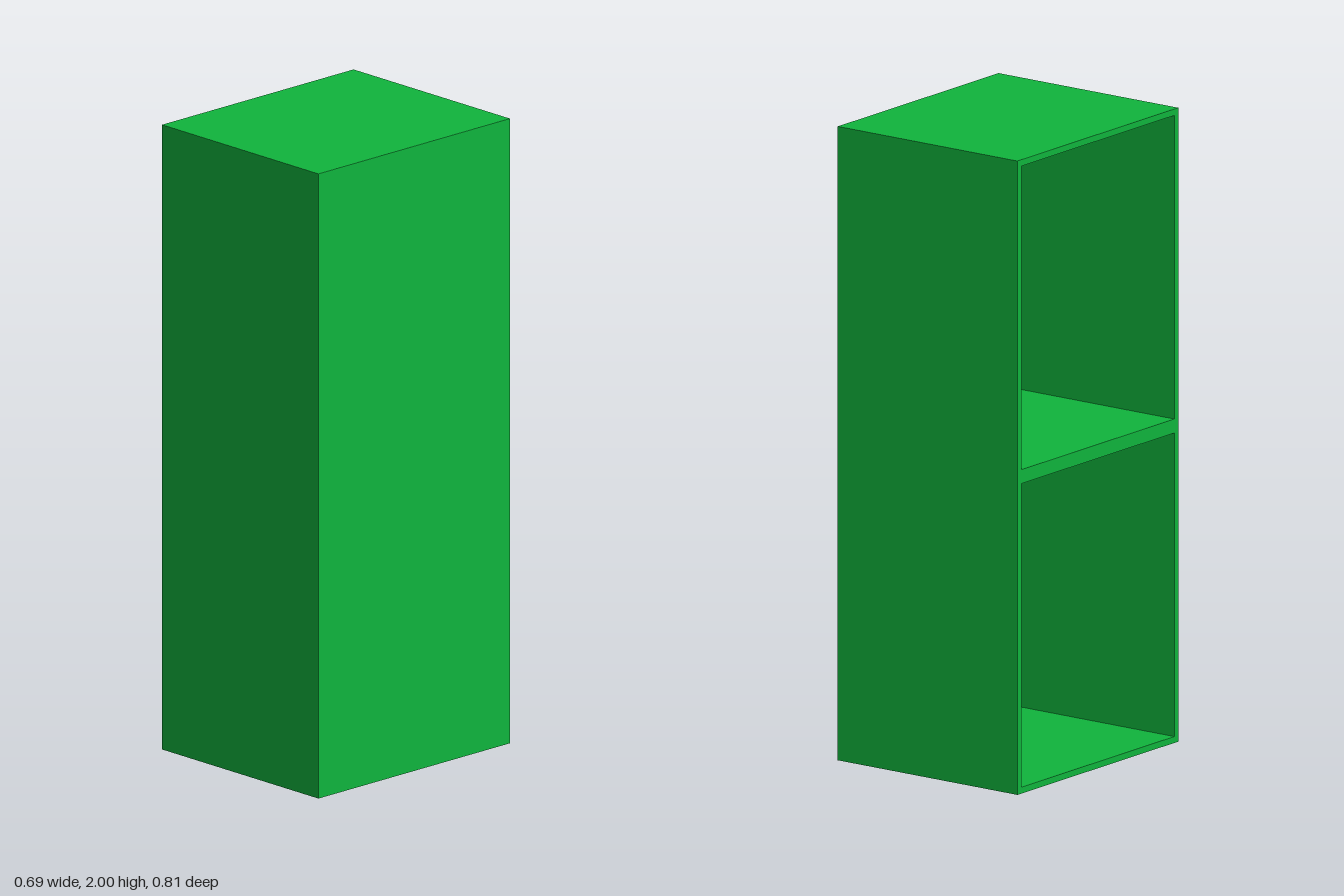
import * as THREE from 'three';

const W = 0.69, H = 2, D = 0.81; // x, y, z extents
const T = 0.02;                  // panel thickness
const SHELF = 0.044;             // middle shelf thickness

// Adds a rectangle outline to a Shape or Path
function rect(path, x0, y0, x1, y1) {
  path.moveTo(x0, y0);
  path.lineTo(x1, y0);
  path.lineTo(x1, y1);
  path.lineTo(x0, y1);
  path.closePath();
  return path;
}

export function createModel() {
  const group = new THREE.Group();
  group.name = 'cabinet';
  const material = new THREE.MeshStandardMaterial({ color: 0x10b53d });

  // Carcass: outer walls and middle shelf, with two compartments open towards -x
  const outline = rect(new THREE.Shape(), -D / 2, 0, D / 2, H);
  const inner = D / 2 - T;
  for (const [y0, y1] of [[T, (H - SHELF) / 2], [(H + SHELF) / 2, H - T]]) {
    outline.holes.push(rect(new THREE.Path(), -inner, y0, inner, y1));
  }
  const frameGeometry = new THREE.ExtrudeGeometry(outline, { depth: W - T, bevelEnabled: false });
  frameGeometry.rotateY(Math.PI / 2);
  const frame = new THREE.Mesh(frameGeometry, material);
  frame.name = 'frameWithShelf';
  frame.position.x = -W / 2;
  group.add(frame);

  // Panel closing the compartments on the +x side
  const panel = new THREE.Mesh(new THREE.BoxGeometry(T, H, D), material);
  panel.name = 'closingPanel';
  panel.position.set(W / 2 - T / 2, H / 2, 0);
  group.add(panel);

  return group;
}
